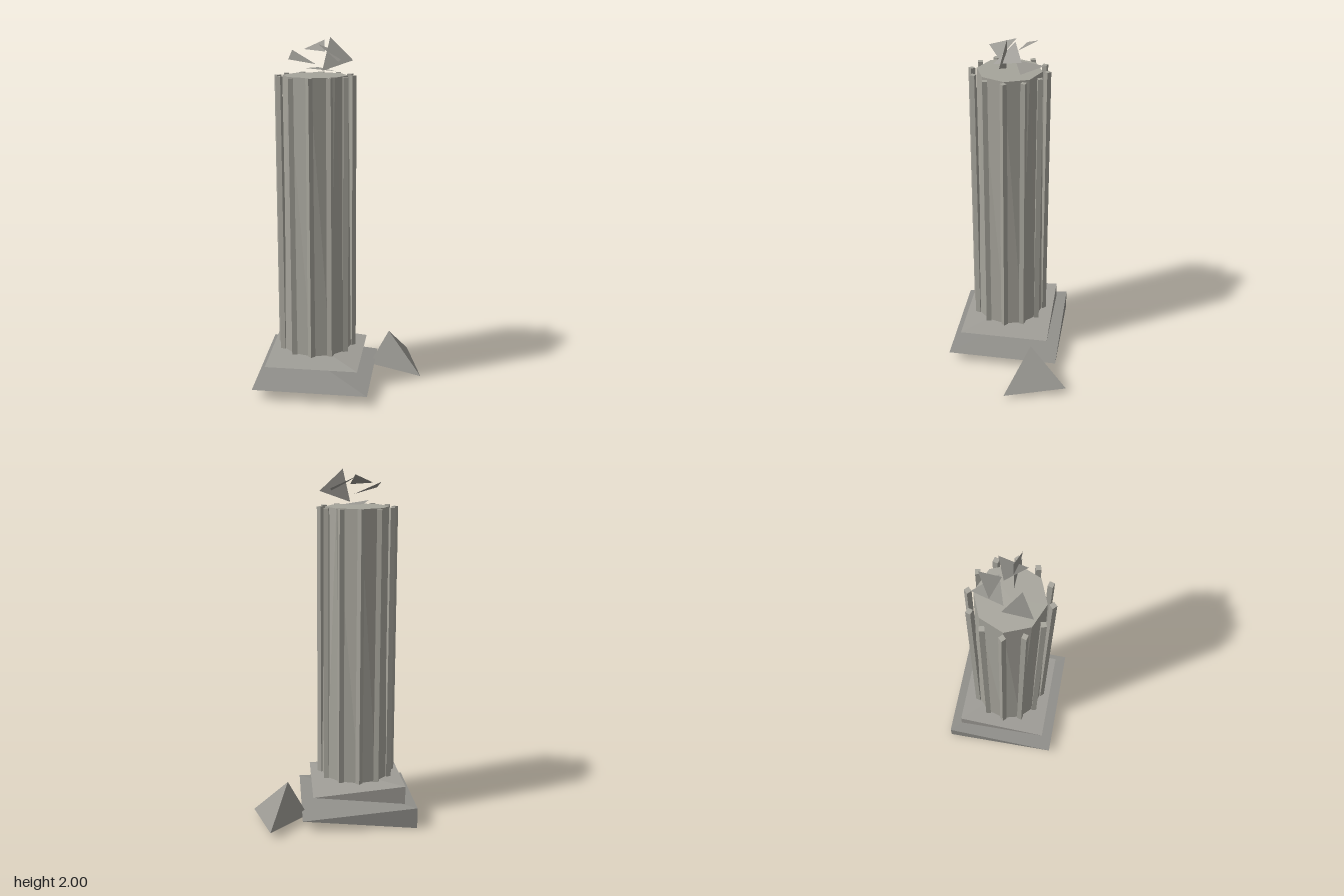
import * as THREE from 'three';

const stone = (color) => new THREE.MeshStandardMaterial({ color, flatShading: true });

// Faceted mesh from corner points and triangles
function facets(name, points, tris, material) {
  const g = new THREE.BufferGeometry();
  g.setAttribute('position', new THREE.Float32BufferAttribute(tris.flat().flatMap((i) => points[i]), 3));
  g.computeVertexNormals();
  const mesh = new THREE.Mesh(g, material);
  mesh.name = name;
  return mesh;
}

// Square slab, thick at its back right corner, ridged along the diagonal and thin at the other corners
function wedge(name, x0, x1, z0, z1, y0, y1, material) {
  const m = (y0 + y1) / 2;
  return facets(name,
    [[x0, y1, z0], [x0, y0, z0], [x1, m, z0], [x1, m, z1], [x0, m, z1]],
    [[0, 4, 3], [0, 3, 2], [1, 3, 4], [1, 2, 3], [0, 2, 1], [0, 1, 4]], material);
}

const CX = -0.143, CZ = 0.044, BASE = 0.232, TOP = 1.797;

// Twelve-sided foot lofted to an eight-sided top
function drum(material) {
  const ring = (n, r, y) => Array.from({ length: n }, (_, i) => {
    const a = (i / n) * Math.PI * 2;
    return [CX + r * Math.cos(a), y, CZ + r * Math.sin(a)];
  });
  const points = [...ring(12, 0.205, BASE), ...ring(8, 0.18, TOP), [CX, BASE, CZ], [CX, TOP, CZ]];
  const tris = [];
  for (let i = 0; i < 12; i++) {
    const j = (i + 1) % 12;
    const ti = 12 + (Math.round((i * 2) / 3) % 8);
    const tj = 12 + (Math.round(((i + 1) * 2) / 3) % 8);
    if (ti !== tj) tris.push([i, ti, tj], [21, tj, ti]);
    tris.push([i, tj, j], [20, i, j]);
  }
  return facets('columnDrum', points, tris, material);
}

export function createModel() {
  const model = new THREE.Group();
  model.name = 'ruinedColumn';
  const columnMat = stone(0xa6a49b);

  // Base slabs
  model.add(wedge('lowerPlinth', -0.468, 0.186, -0.285, 0.37, 0, 0.123, stone(0x908f8a)));
  model.add(wedge('upperPlinth', -0.405, 0.123, -0.223, 0.307, 0.123, 0.23, stone(0x9f9d97)));

  // Shaft with twelve slim four-sided ribs
  model.add(drum(columnMat));
  const ribs = new THREE.Group();
  ribs.name = 'columnRibs';
  const ribGeo = new THREE.CylinderGeometry(0.019, 0.021, TOP - BASE, 4);
  for (let i = 0; i < 12; i++) {
    const a = (i / 12) * Math.PI * 2;
    const rib = new THREE.Mesh(ribGeo, columnMat);
    rib.name = 'rib';
    rib.position.set(CX + 0.207 * Math.sin(a), (BASE + TOP) / 2, CZ + 0.207 * Math.cos(a));
    rib.rotation.y = a;
    ribs.add(rib);
  }
  model.add(ribs);

  // Fallen block beside the base
  model.add(facets('fallenBlock',
    [[0.368, 0.04, -0.37], [0.467, 0.02, -0.015], [0.153, 0.03, -0.133], [0.266, 0.245, -0.145]],
    [[0, 2, 3], [2, 1, 3], [1, 0, 3], [0, 1, 2]], stone(0x999791)));

  // Thin broken shards above the column
  const shardMat = stone(0x999791);
  shardMat.side = THREE.DoubleSide;
  const shards = new THREE.Group();
  shards.name = 'shards';
  [
    [[-0.22, 1.93, -0.042], [-0.097, 1.92, -0.005], [-0.115, 1.978, -0.113]],
    [[-0.155, 1.824, -0.145], [-0.203, 1.832, 0.022], [-0.04, 1.812, -0.03]],
    [[-0.13, 1.96, 0.01], [-0.008, 1.875, 0.107], [0.015, 1.9, -0.045]],
    [[-0.272, 1.93, 0.025], [-0.265, 1.89, 0.177], [-0.13, 1.86, 0.1]],
    [[-0.06, 2.0, 0.042], [-0.103, 1.82, 0.054], [0.067, 1.88, 0.064]],
  ].forEach((p) => shards.add(facets('shard', p, [[0, 1, 2]], shardMat)));
  model.add(shards);

  return model;
}
